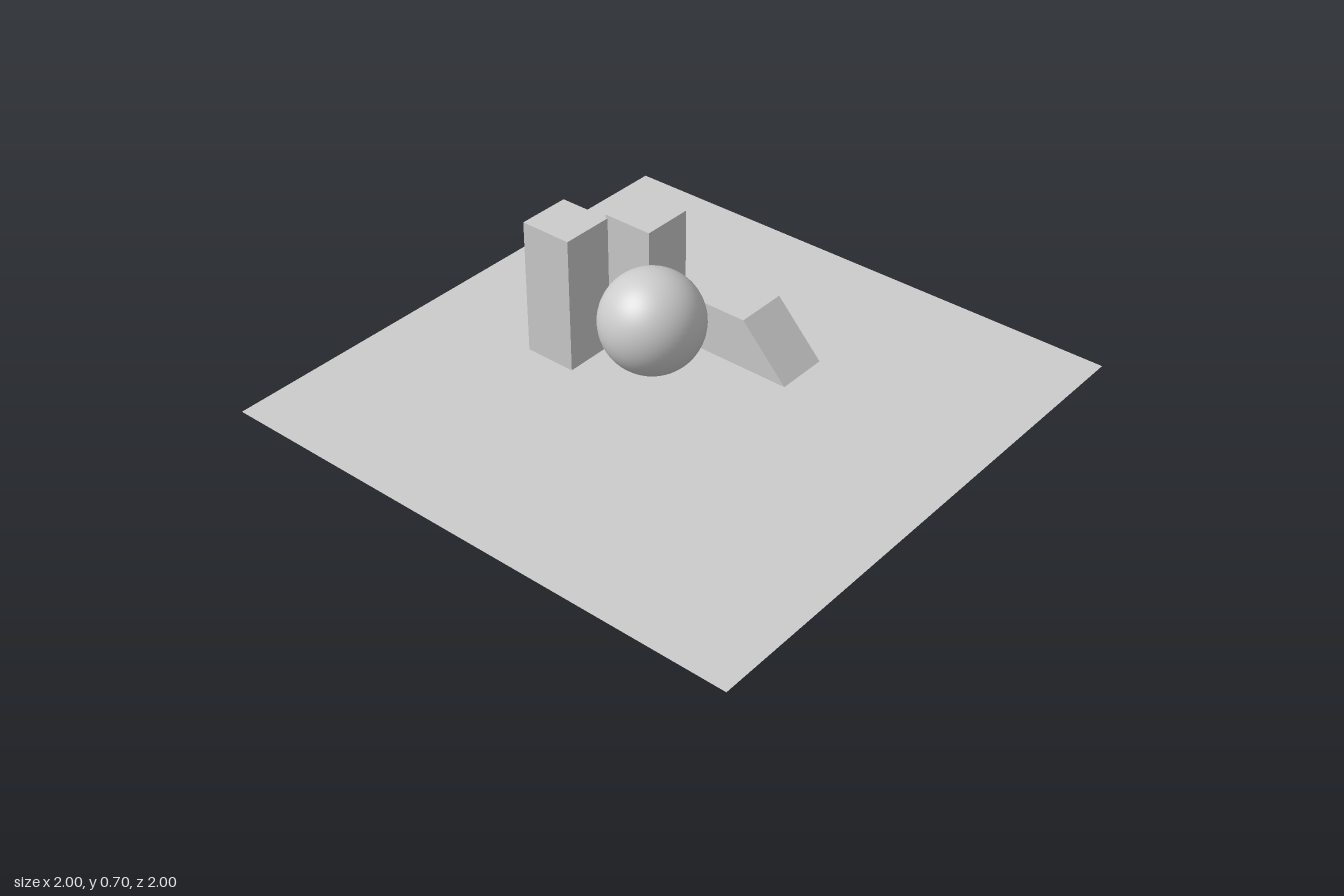
import * as THREE from 'three';

const FLOOR_Y = 0.01;

export function createModel() {
  const model = new THREE.Group();
  const material = new THREE.MeshStandardMaterial({ color: 0xcccccc });

  const add = (name, geometry, x, y, z, mat = material) => {
    const mesh = new THREE.Mesh(geometry, mat);
    mesh.name = name;
    mesh.position.set(x, y, z);
    model.add(mesh);
    return mesh;
  };

  // Thin square floor, seen from both sides
  const floorMaterial = new THREE.MeshStandardMaterial({ color: 0xcccccc, side: THREE.DoubleSide });
  add('floor', new THREE.PlaneGeometry(2, 2).rotateX(-Math.PI / 2), 0, FLOOR_Y, 0, floorMaterial);

  // Square pillars standing on the floor
  const side = 0.193;
  const addPillar = (name, x, z, top) => {
    const height = top - FLOOR_Y;
    add(name, new THREE.BoxGeometry(side, height, side), x, FLOOR_Y + height / 2, z);
  };
  addPillar('tallPillar', -0.436, 0.051, 0.508);
  addPillar('shortPillar', -0.416, -0.324, 0.374);

  // Block with a ramp down to its left, sunk slightly through the floor
  const profile = new THREE.Shape([
    new THREE.Vector2(-0.107, 0),
    new THREE.Vector2(0.27, 0),
    new THREE.Vector2(0.085, 0.198),
    new THREE.Vector2(-0.107, 0.198),
  ]);
  const ramp = new THREE.ExtrudeGeometry(profile, { depth: side, bevelEnabled: false });
  add('rampBlock', ramp, 0, 0, -0.324 - side / 2);

  // Floating ball
  add('ball', new THREE.SphereGeometry(0.166, 48, 32), 0.182, 0.53, 0.343);

  return model;
}
